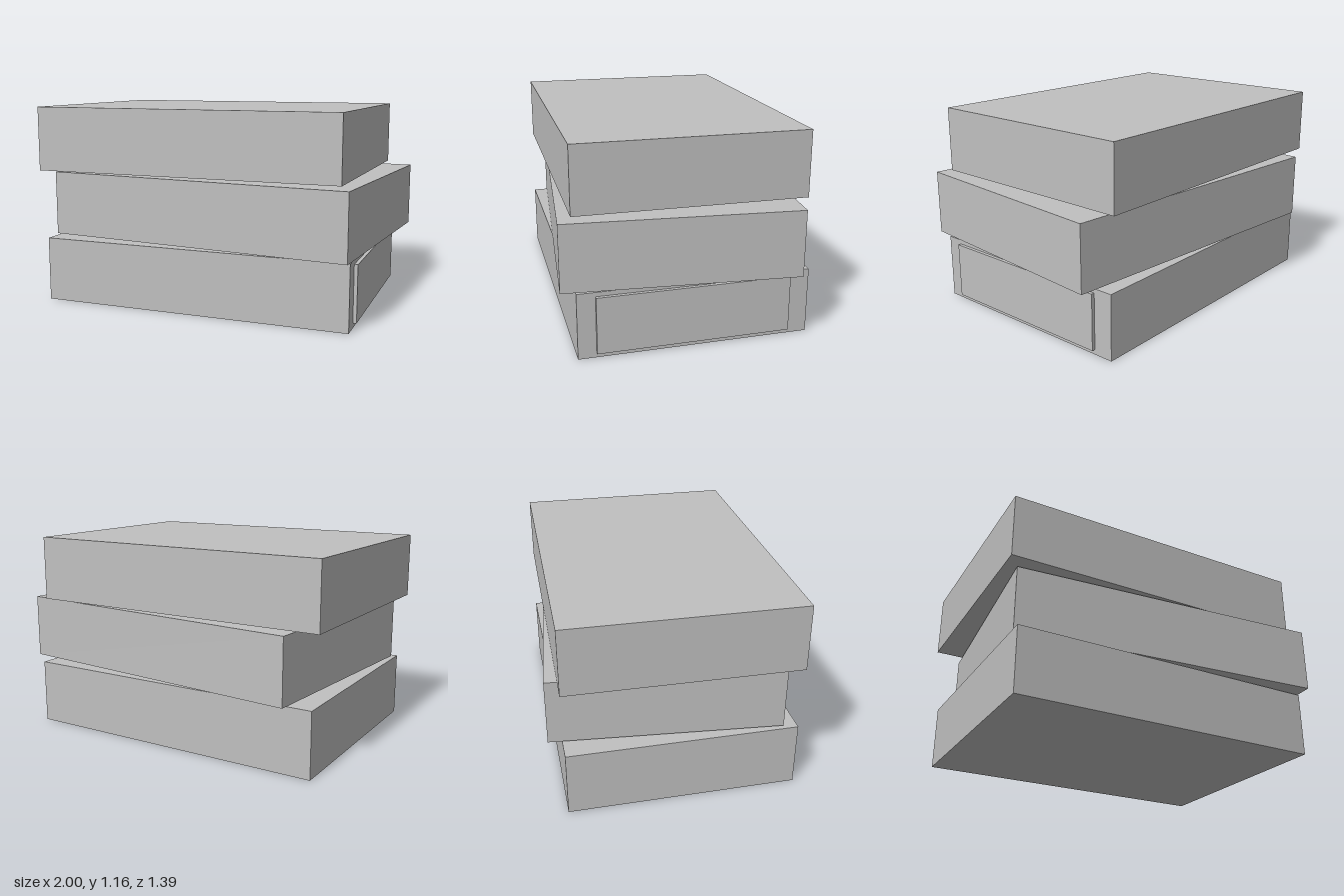
import * as THREE from 'three';

const WIDTH = 1.835, HEIGHT = 0.377, DEPTH = 1.3, PITCH = 0.391;

export function createModel() {
  const model = new THREE.Group();
  model.name = 'boxStack';

  const grey = new THREE.MeshStandardMaterial({ color: 0xc0c0c0 });
  grey.name = 'light grey';

  // Three equal boxes, each slightly shifted and turned
  const layers = [
    { name: 'bottomBox', x: -0.018, turn: 0.041 },
    { name: 'middleBox', x: 0.048, turn: -0.05 },
    { name: 'topBox', x: -0.063, turn: 0.03 },
  ];
  const boxGeometry = new THREE.BoxGeometry(WIDTH, HEIGHT, DEPTH);
  const boxes = layers.map(({ name, x, turn }, i) => {
    const box = new THREE.Mesh(boxGeometry, grey);
    box.name = name;
    box.position.set(x, HEIGHT / 2 + i * PITCH, 0);
    box.rotation.y = turn;
    model.add(box);
    return box;
  });

  // Raised panel on the left end of the bottom box
  const panel = new THREE.Mesh(new THREE.BoxGeometry(0.04, 0.324, 1.085), grey);
  panel.name = 'endPanel';
  panel.position.set(WIDTH / 2, 0.002, 0.007);
  boxes[0].add(panel);

  return model;
}
